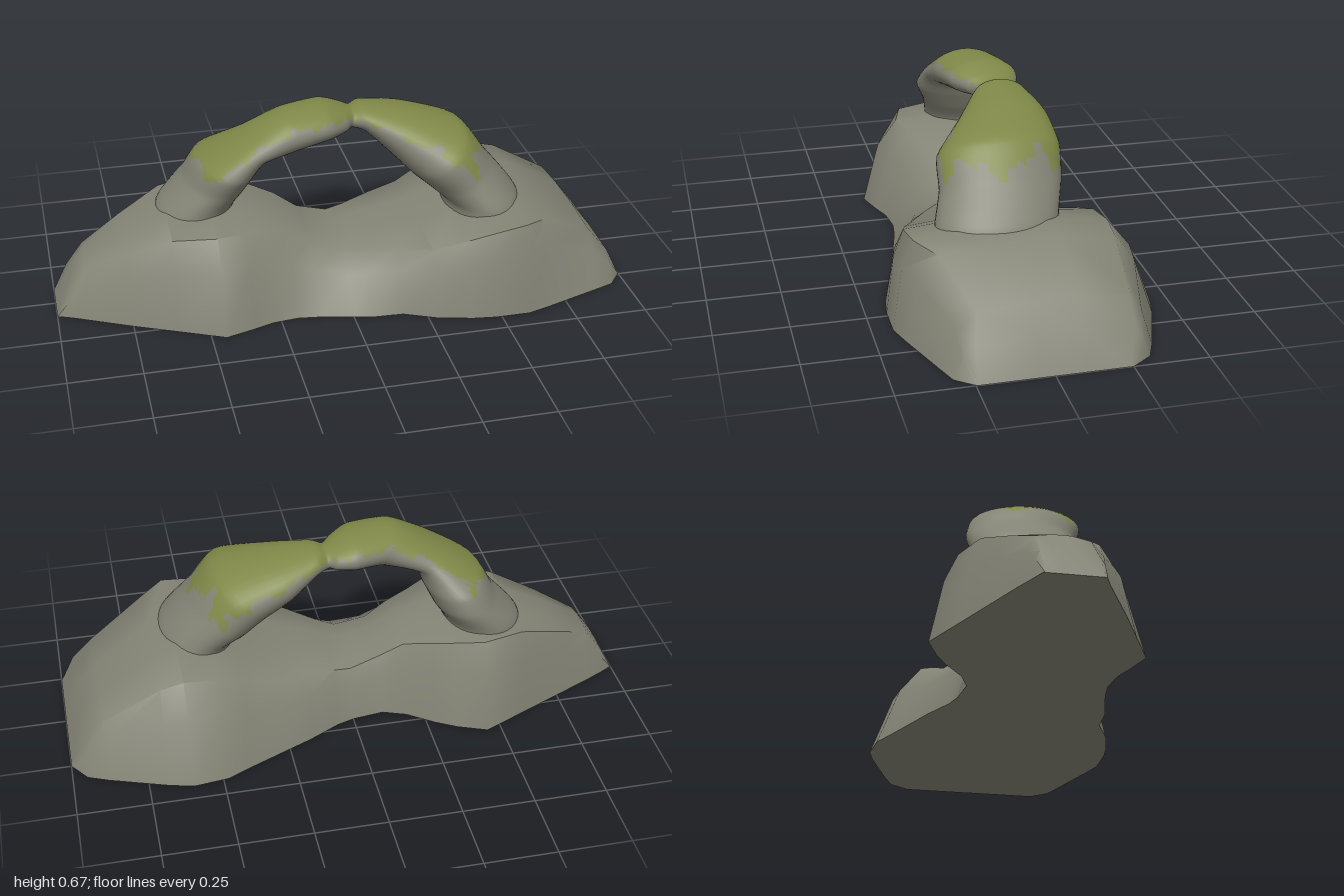
import * as THREE from 'three';
import { toCreasedNormals } from 'three/addons/utils/BufferGeometryUtils.js';

const rock = new THREE.MeshStandardMaterial({ color: 0x838375 });
rock.name = 'grey rock';
const moss = new THREE.MeshStandardMaterial({ color: 0x7f8848 });
moss.name = 'green moss';

// Skins closed rings of equal length; pick(i, j, k) chooses the material index of each triangle
function loft(rings, pick = () => 0) {
  const n = rings[0].length;
  const faces = [[], []];
  for (let i = 0; i < rings.length - 1; i++) {
    for (let j = 0; j < n; j++) {
      const a = i * n + j, b = i * n + (j + 1) % n;
      faces[pick(i, j, 0)].push(a, b, a + n);
      faces[pick(i, j, 1)].push(b, b + n, a + n);
    }
  }
  const geo = new THREE.BufferGeometry();
  geo.setAttribute('position', new THREE.Float32BufferAttribute(rings.flat(2), 3));
  geo.setIndex([...faces[0], ...faces[1]]);
  geo.addGroup(0, faces[0].length, 0);
  geo.addGroup(faces[0].length, faces[1].length, 1);
  geo.computeVertexNormals();
  return geo;
}

// Base: x, ground back z, ground front z, height, shoulder back z, shoulder front z
const BASE = [
  [-1, -0.1, 0.09, 0, -0.09, 0.08],
  [-0.95, -0.125, 0.11, 0.1, -0.1, 0.08],
  [-0.89, -0.155, 0.14, 0.185, -0.1, 0.07],
  [-0.75, -0.22, 0.21, 0.255, -0.16, 0.13],
  [-0.6, -0.29, 0.28, 0.322, -0.22, 0.18],
  [-0.45, -0.36, 0.35, 0.335, -0.27, 0.22],
  [-0.35, -0.32, 0.32, 0.325, -0.24, 0.19],
  [-0.28, -0.28, 0.295, 0.305, -0.2, 0.16],
  [-0.19, -0.215, 0.285, 0.28, -0.15, 0.13],
  [-0.11, -0.185, 0.295, 0.225, -0.13, 0.12],
  [0, -0.2, 0.32, 0.19, -0.14, 0.14],
  [0.06, -0.22, 0.335, 0.2, -0.15, 0.17],
  [0.17, -0.28, 0.34, 0.223, -0.18, 0.24],
  [0.28, -0.33, 0.39, 0.24, -0.21, 0.31],
  [0.4, -0.385, 0.42, 0.29, -0.25, 0.35],
  [0.48, -0.425, 0.43, 0.32, -0.27, 0.37],
  [0.6, -0.44, 0.43, 0.335, -0.28, 0.36],
  [0.68, -0.42, 0.405, 0.315, -0.28, 0.3],
  [0.88, -0.35, 0.335, 0.2, -0.27, 0.22],
  [0.95, -0.32, 0.31, 0.11, -0.27, 0.24],
  [1, -0.25, 0.25, 0, -0.24, 0.24],
];

function baseRock() {
  const mix = THREE.MathUtils.lerp;
  const rings = BASE.map(([x, zb, zf, h, tb, tf]) => [
    [x, 0, zb],
    [x, 0.65 * h, mix(zb, tb, 0.5)],
    [x, 0.95 * h, tb],
    [x, h, mix(tb, tf, 0.3)],
    [x, h, mix(tb, tf, 0.65)],
    [x, 0.93 * h, tf],
    [x, 0.65 * h, mix(zf, tf, 0.45)],
    [x, 0, zf],
  ]);
  const geo = loft(rings);
  geo.clearGroups();
  return new THREE.Mesh(toCreasedNormals(geo, 0.85), rock);
}

// Arch: outer x, y, inner x, y, back z, front z
const ARCH = [
  [-0.66, 0.2, -0.32, 0.2, -0.22, 0.11],
  [-0.62, 0.32, -0.35, 0.32, -0.23, 0.1],
  [-0.53, 0.42, -0.31, 0.39, -0.24, 0.12],
  [-0.48, 0.5, -0.28, 0.45, -0.22, 0.15],
  [-0.33, 0.59, -0.25, 0.505, -0.13, 0.14],
  [-0.19, 0.665, -0.12, 0.535, -0.105, 0.13],
  [-0.04, 0.672, -0.02, 0.55, -0.135, 0.105],
  [0.03, 0.65, 0.04, 0.56, -0.12, 0.06],
  [0.07, 0.635, 0.06, 0.565, -0.1, 0.025],
  [0.11, 0.645, 0.11, 0.55, -0.13, 0.05],
  [0.26, 0.625, 0.19, 0.475, -0.175, 0.13],
  [0.45, 0.57, 0.26, 0.41, -0.185, 0.23],
  [0.54, 0.455, 0.33, 0.35, -0.17, 0.24],
  [0.64, 0.33, 0.38, 0.305, -0.14, 0.27],
  [0.68, 0.2, 0.38, 0.2, -0.14, 0.28],
];

function archRock() {
  const STEPS = 6, SIDES = 40;
  const curve = (f) => new THREE.CatmullRomCurve3(ARCH.map(f), false, 'catmullrom', 0.3);
  const outer = curve((s) => new THREE.Vector3(s[0], s[1], 0));
  const inner = curve((s) => new THREE.Vector3(s[2], s[3], 0));
  const width = curve((s) => new THREE.Vector3(s[4], s[5], 0));
  const count = (ARCH.length - 1) * STEPS;
  const rings = [];
  for (let i = 0; i <= count; i++) {
    const t = i / count;
    const o = outer.getPoint(t), n = inner.getPoint(t), w = width.getPoint(t);
    const ring = [];
    for (let j = 0; j < SIDES; j++) {
      const a = (j / SIDES) * Math.PI * 2;
      const r = (1 + Math.cos(a)) / 2;
      ring.push([
        n.x + (o.x - n.x) * r,
        n.y + (o.y - n.y) * r,
        (w.x + w.y) / 2 + (Math.sin(a) * (w.y - w.x)) / 2,
      ]);
    }
    rings.push(ring);
  }
  // Moss covers the crown with a ragged edge
  const mossy = (i, j, k) => {
    const u = (i + 0.35 + 0.3 * k) / STEPS;
    let a = ((j + 0.35 + 0.3 * k) / SIDES) * Math.PI * 2;
    if (a > Math.PI) a -= Math.PI * 2;
    const limit = (u < 8 ? 1.15 : 1.35) + 0.12 * Math.sin(u * 7) + 0.08 * Math.sin(u * 17 + a);
    const start = 2.9 + 0.2 * Math.sin(a * 6);
    const end = 11.6 + 0.25 * Math.sin(a * 5 + 1) + 0.15 * Math.sin(a * 13);
    return Math.abs(a) < limit && u > start && u < end ? 1 : 0;
  };
  return new THREE.Mesh(loft(rings, mossy), [rock, moss]);
}

export function createModel() {
  const group = new THREE.Group();
  group.name = 'rockArch';
  const base = baseRock();
  base.name = 'baseRock';
  const arch = archRock();
  arch.name = 'mossyArch';
  group.add(base, arch);
  return group;
}
